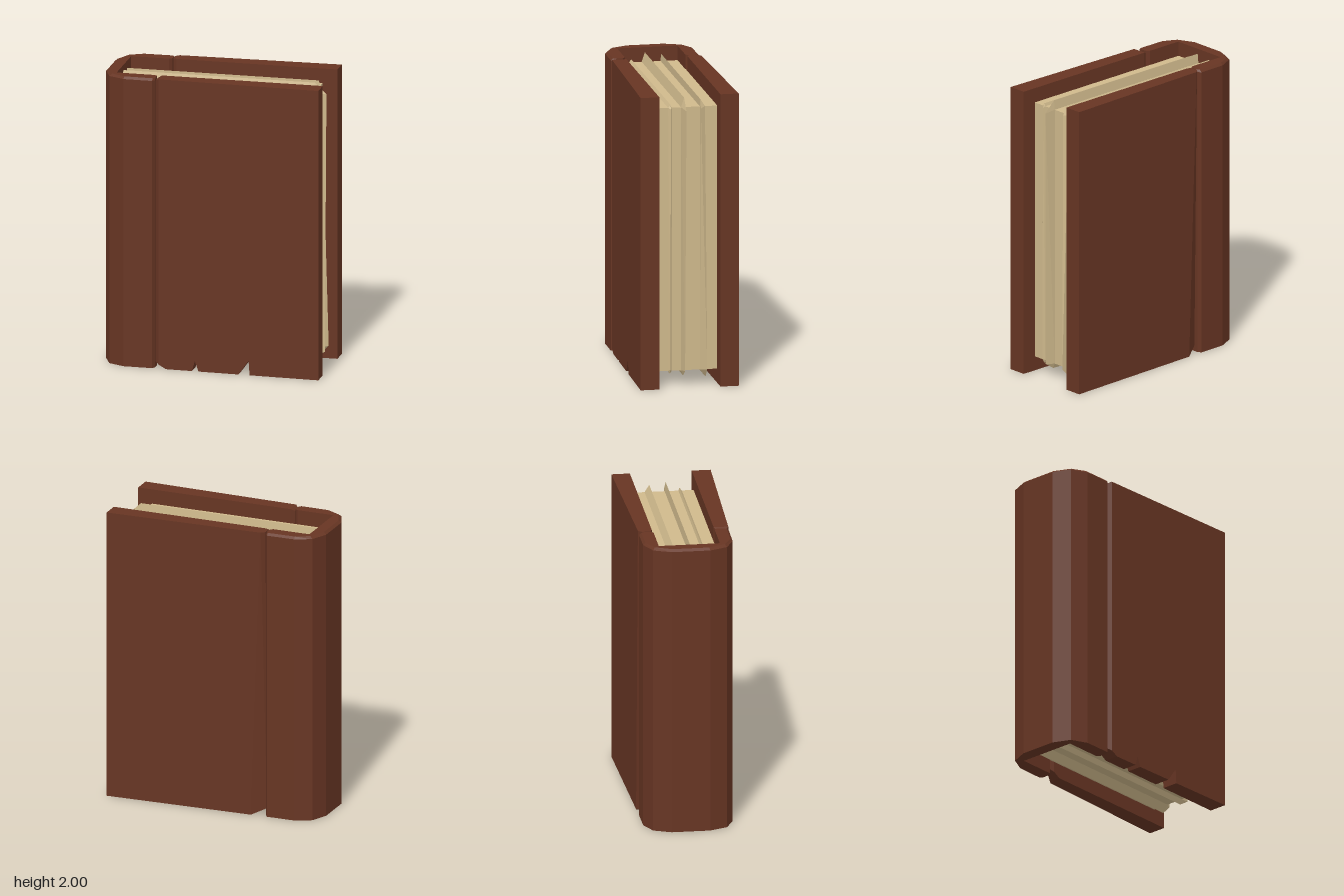
import * as THREE from 'three';
import { ConvexGeometry } from 'three/addons/geometries/ConvexGeometry.js';

const leather = new THREE.MeshStandardMaterial({ color: 0x673523 });
leather.name = 'brown leather';
const paper = new THREE.MeshStandardMaterial({ color: 0xcfb98c });
paper.name = 'aged paper';

const outline = (pts) => new THREE.Shape(pts.map(([x, y]) => new THREE.Vector2(x, y)));
const hull = (pts) => new ConvexGeometry(pts.map((p) => new THREE.Vector3(...p)));

// Move every vertex by a rule, keeping faces flat
function reshape(geometry, rule) {
  const g = geometry.index ? geometry.toNonIndexed() : geometry;
  const pos = g.attributes.position;
  const v = new THREE.Vector3();
  for (let i = 0; i < pos.count; i++) {
    rule(v.fromBufferAttribute(pos, i));
    pos.setXYZ(i, v.x, v.y, v.z);
  }
  g.computeVertexNormals();
  return g;
}

// Outer cover surface flares away from the hinge
const flare = (x) => 0.303 + ((x + 0.35) / 1.1) * 0.029;

function spineGeometry() {
  const half = [[-0.66, 0.205], [-0.4, 0.205], [-0.38, 0.222], [-0.38, 0.28], [-0.395, 0.302],
    [-0.59, 0.3], [-0.7, 0.248], [-0.75, 0.13]];
  const other = half.map(([x, z]) => [x, -z]).reverse();
  const g = new THREE.ExtrudeGeometry(outline([...half, ...other]), { depth: 2, steps: 2, bevelEnabled: false });
  g.rotateX(-Math.PI / 2);
  return reshape(g, (v) => {
    if (v.y > 0.9 && v.y < 1.1) v.y = 1.985;
    else if (v.y > 1.9 && (Math.abs(v.z) > 0.225 || v.x < -0.67)) {
      // small bevel around the outer top edge
      v.z *= 0.95;
      if (v.x < -0.65) v.x += 0.018;
    }
  });
}

function frontCoverGeometry() {
  // Worn lower edge with two torn notches
  const shape = outline([[-0.35, 0.028], [-0.3, 0], [-0.12, 0], [-0.1, 0.07], [-0.075, 0], [0.2, 0],
    [0.27, 0.1], [0.277, 0], [0.75, 0], [0.75, 2], [-0.35, 2]]);
  const g = new THREE.ExtrudeGeometry(shape, { depth: 1, bevelEnabled: false });
  return reshape(g, (v) => { v.z = v.z > 0.5 ? flare(v.x) : 0.205; });
}

// Bevelled hinge edge of the front cover
function frontHingeGeometry() {
  const pts = [];
  for (const [x, z, low, high] of [[-0.35, 0.205, 0.028, 2], [-0.35, 0.303, 0.028, 2],
    [-0.375, 0.222, 0.042, 1.985], [-0.375, 0.28, 0.042, 1.985]]) {
    pts.push([x, low, z], [x, high, z]);
  }
  return hull(pts);
}

function backCoverGeometry() {
  return hull([
    [-0.35, 2, -0.21], [-0.375, 2, -0.222], [-0.375, 2, -0.28], [-0.35, 2, -0.304],
    [0.75, 2, -0.21], [0.75, 2, -0.334], [0.75, 0, -0.21], [0.75, 0, -0.334],
    // worn lower hinge corner
    [-0.35, 0.028, -0.21], [-0.375, 0.042, -0.222], [-0.375, 0.042, -0.255],
    [-0.28, 0, -0.306], [-0.3, 0, -0.21],
  ]);
}

// A page ridge: wide at the block surface, thin at its protruding edge
function sheetGeometry({ base, peak, top, bottom, tips }) {
  const pts = [];
  for (const x of [-0.66, 0.65]) {
    for (const z of base) pts.push([x, 0.1, z], [x, 1.9, z]);
  }
  pts.push([-0.66, top, peak[0]], [0.65, top, peak[0]], [tips[0], 1.89, peak[0]]);
  pts.push([-0.66, bottom, peak[1]], [0.65, bottom, peak[1]], [tips[1], 0.11, peak[1]]);
  return hull(pts);
}

export function createModel() {
  const group = new THREE.Group();
  group.name = 'book';
  const add = (name, geometry, material) => {
    const mesh = new THREE.Mesh(geometry, material);
    mesh.name = name;
    group.add(mesh);
    return mesh;
  };

  // Binding
  add('spine', spineGeometry(), leather);
  add('frontCover', frontCoverGeometry(), leather);
  add('frontHinge', frontHingeGeometry(), leather);
  add('backCover', backCoverGeometry(), leather);

  // Pages
  add('pageBlock', new THREE.BoxGeometry(1.31, 1.8, 0.412), paper).position.set(-0.005, 1, -0.002);
  const sheets = [
    { base: [0.102, 0.125], peak: [0.109, 0.113], top: 1.92, bottom: 0.08, tips: [0.665, 0.665] },
    { base: [0.01, 0.038], peak: [0.017, 0.024], top: 1.965, bottom: 0.065, tips: [0.73, 0.72] },
    { base: [-0.125, -0.09], peak: [-0.093, -0.128], top: 1.95, bottom: 0.05, tips: [0.67, 0.71] },
  ];
  sheets.forEach((s, i) => add(`looseSheet${i + 1}`, sheetGeometry(s), paper));
  return group;
}
